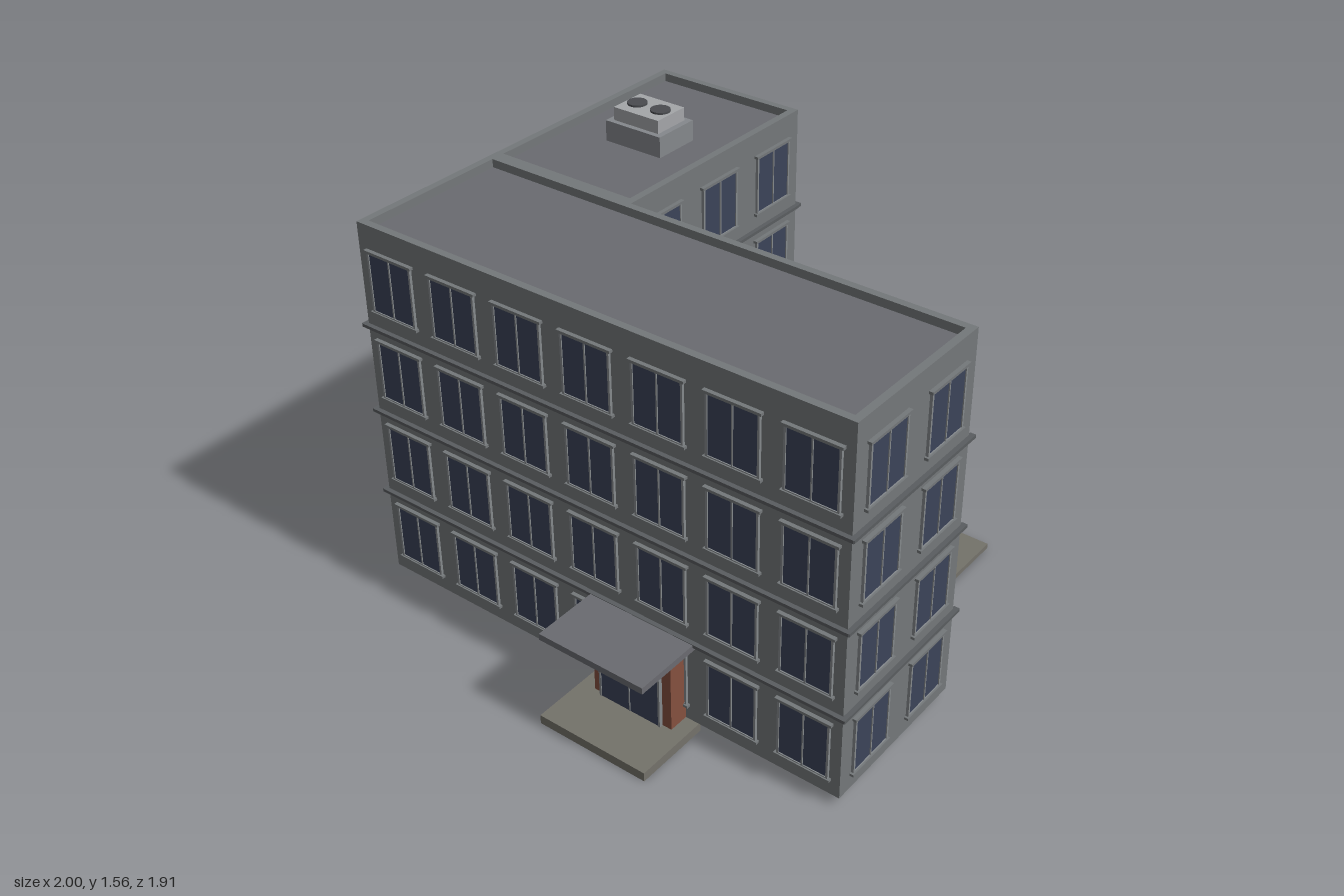
import * as THREE from 'three';

const mat = (color) => new THREE.MeshStandardMaterial({ color });
const wall = mat(0x74787a), roof = mat(0x6a6b70), trim = mat(0x5a5d60), frameMat = mat(0x85898c);
const glass = mat(0x3b4359), brick = mat(0x84503f), paving = mat(0x74726a), grass = mat(0x46653f);
const metal = mat(0xa4a6a9), plinthMat = mat(0x85888c), dark = mat(0x4a4c50);

// Box given by its min and max corners
function block(name, material, x0, x1, y0, y1, z0, z1) {
  const m = new THREE.Mesh(new THREE.BoxGeometry(x1 - x0, y1 - y0, z1 - z0), material);
  m.position.set((x0 + x1) / 2, (y0 + y1) / 2, (z0 + z1) / 2);
  m.name = name;
  return m;
}

function rect(Type, x0, x1, y0, y1) {
  return new Type().moveTo(x0, y0).lineTo(x1, y0).lineTo(x1, y1).lineTo(x0, y1).closePath();
}

const FLOOR = 0.035, ROOF = 1.42, TOP = 1.455, STOREY = 0.344;
const W = 0.182, H = 0.214, B = 0.008;

// Two-pane window frame, one extrusion with two holes
const frameShape = rect(THREE.Shape, -W / 2 - B, W / 2 + B, -H / 2 - B, H / 2 + B);
frameShape.holes.push(
  rect(THREE.Path, -W / 2, -B / 3, -H / 2, H / 2),
  rect(THREE.Path, B / 3, W / 2, -H / 2, H / 2));
const frameGeo = new THREE.ExtrudeGeometry(frameShape, { depth: 0.01, bevelEnabled: false });

function createWindow() {
  const g = new THREE.Group();
  g.name = 'window';
  const frame = new THREE.Mesh(frameGeo, frameMat);
  frame.name = 'windowFrame';
  g.add(frame, block('windowGlass', glass, -W / 2, W / 2, -H / 2, H / 2, -0.005, 0.006));
  // lintel and sill
  for (const [name, y] of [['lintel', H / 2 + 0.009], ['sill', -H / 2 - 0.009]])
    g.add(block(name, wall, -0.107, 0.107, y - 0.005, y + 0.005, -0.003, 0.015));
  return g;
}

// Windows and floor bands of one wall; local +z points outward
function createFacade(name, x, z, angle, width, columns, bands = true) {
  const g = new THREE.Group();
  g.name = name;
  g.position.set(x, 0, z);
  g.rotation.y = angle;
  for (let row = 0; row < 4; row++) {
    for (const c of columns) {
      const w = createWindow();
      w.position.set(c, 0.213 + row * STOREY, 0);
      g.add(w);
    }
    if (bands && row > 0) {
      const y = 0.032 + row * STOREY;
      g.add(block('floorBand', trim, -width / 2, width / 2, y - 0.006, y + 0.006, -0.005, 0.017));
    }
  }
  return g;
}

const spread = (n, width) => Array.from({ length: n }, (_, i) => ((i + 0.5) / n - 0.5) * width);

// Block of the building with recessed roof and parapet
function createBlock(name, x0, x1, z0, z1) {
  const g = new THREE.Group(), t = 0.028;
  g.name = name;
  const ring = rect(THREE.Shape, x0, x1, -z1, -z0);
  ring.holes.push(rect(THREE.Path, x0 + t, x1 - t, -z1 + t, -z0 - t));
  const parapet = new THREE.Mesh(
    new THREE.ExtrudeGeometry(ring, { depth: TOP - ROOF, bevelEnabled: false }).rotateX(-Math.PI / 2), wall);
  parapet.position.y = ROOF;
  parapet.name = 'parapet';
  g.add(block('walls', wall, x0, x1, FLOOR, ROOF, z0, z1), parapet,
    block('roofDeck', roof, x0 + t, x1 - t, ROOF - 0.01, ROOF + 0.004, z0 + t, z1 - t));
  return g;
}

export function createModel() {
  const model = new THREE.Group();
  model.name = 'building';
  const X0 = -0.983, X1 = 0.983, XW = -0.35, Z0 = -0.94, ZM = 0.025, Z1 = 0.668;
  const q = Math.PI / 2;

  model.add(createBlock('mainBlock', X0, X1, ZM, Z1), createBlock('rearWing', X0, XW, Z0, ZM));

  // Facades
  const full = X1 - X0, depth = Z1 - Z0, side = Z1 - ZM, wing = ZM - Z0, end = XW - X0;
  model.add(
    createFacade('frontFacade', 0, Z1, 0, full + 0.03, spread(7, full)),
    createFacade('leftFacade', X1, (ZM + Z1) / 2, q, side + 0.03, spread(2, side)),
    createFacade('rightFacade', X0, (Z0 + Z1) / 2, -q, depth + 0.03, spread(5, depth)),
    createFacade('wingCourtFacade', XW, (Z0 + ZM) / 2, q, wing, spread(3, wing)),
    createFacade('wingEndFacade', (X0 + XW) / 2, Z0, 2 * q, end + 0.03, spread(2, end)),
    createFacade('courtFacade', 0, ZM, 2 * q, full, [0.205, -0.07, -0.345, -0.62], false));

  // Entrance: porch, glazed doors, canopy and step
  const entrance = new THREE.Group();
  entrance.name = 'entrance';
  entrance.add(
    block('porch', brick, 0.04, 0.37, FLOOR, 0.355, Z1 - 0.01, 0.745),
    block('canopy', roof, -0.015, 0.415, 0.355, 0.38, Z1 - 0.01, 0.94),
    block('entranceStep', paving, -0.02, 0.425, 0, FLOOR, 0.66, 0.955));
  for (const s of [-1, 1]) {
    const c = 0.203 + s * 0.062;
    entrance.add(block('doorLeaf', glass, c - 0.06, c + 0.06, FLOOR, 0.318, 0.74, 0.757));
    const p = 0.203 + s * 0.126;
    entrance.add(block('doorJamb', frameMat, p - 0.004, p + 0.004, FLOOR, 0.326, 0.74, 0.76));
  }
  entrance.add(
    block('doorMullion', frameMat, 0.201, 0.205, FLOOR, 0.318, 0.74, 0.76),
    block('doorHead', frameMat, 0.077, 0.329, 0.318, 0.326, 0.74, 0.76));
  model.add(entrance);

  // Rear courtyard
  model.add(
    block('courtPaving', paving, XW, 0.683, 0, 0.02, -0.777, -0.045),
    block('planter', grass, -0.13, 0.465, 0.02, 0.05, -0.575, -0.393));

  // Rooftop ventilation unit
  const unit = new THREE.Group();
  unit.name = 'ventilationUnit';
  unit.add(
    block('unitPlinth', plinthMat, -0.783, -0.535, ROOF, 1.503, -0.547, -0.358),
    block('unitHousing', metal, -0.76, -0.558, 1.503, 1.553, -0.527, -0.378));
  for (const x of [-0.713, -0.607]) {
    const fan = new THREE.Mesh(new THREE.CylinderGeometry(0.037, 0.037, 0.012, 24), dark);
    fan.position.set(x, 1.554, -0.453);
    fan.name = 'fan';
    unit.add(fan);
  }
  model.add(unit);
  return model;
}
